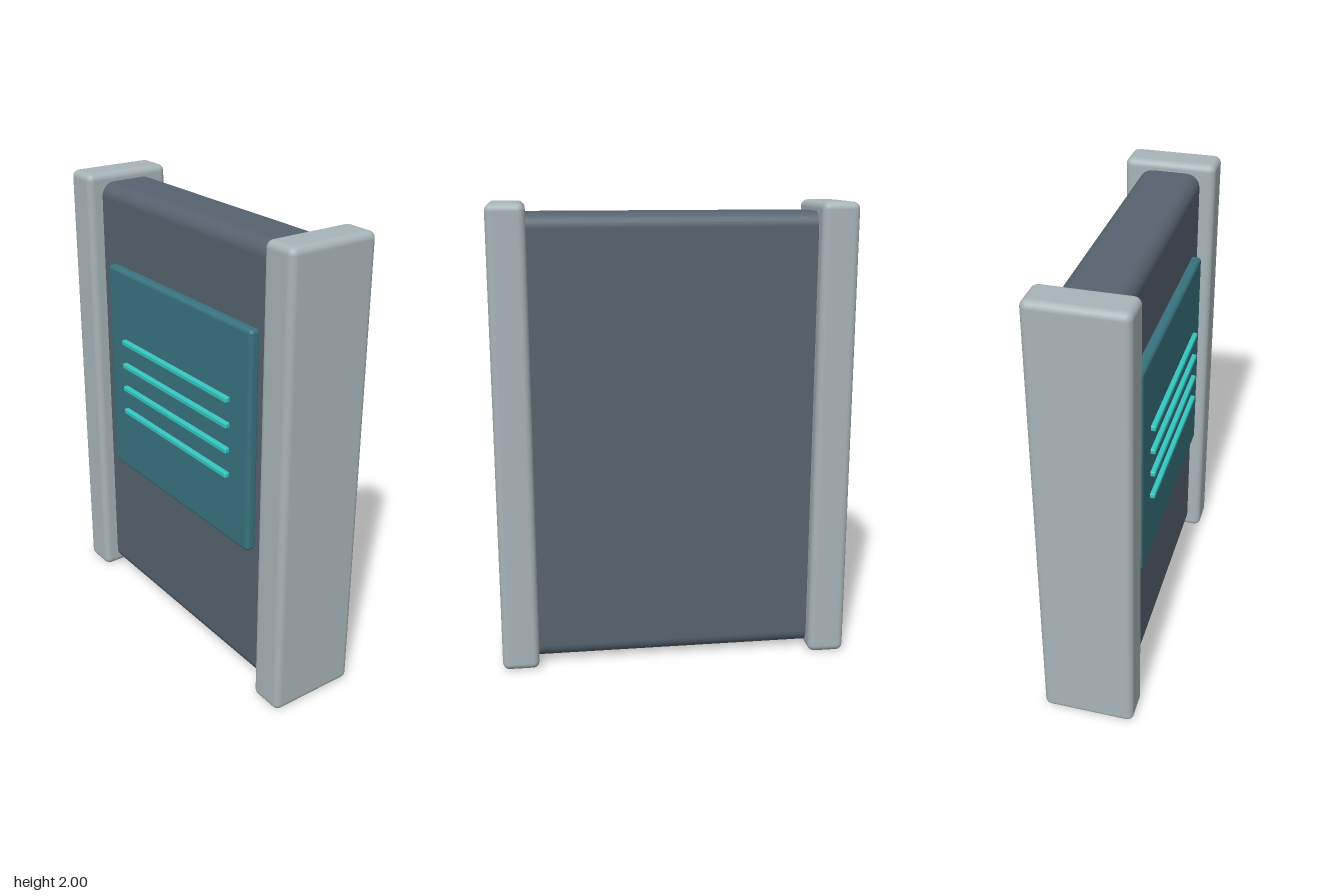
import * as THREE from 'three';
import { RoundedBoxGeometry } from 'three/addons/geometries/RoundedBoxGeometry.js';

const material = (name, color) => {
  const m = new THREE.MeshStandardMaterial({ color });
  m.name = name;
  return m;
};

export function createModel() {
  const group = new THREE.Group();
  group.name = 'displayPanel';
  const paleGrey = material('paleGrey', 0xa8b4b8);
  const slate = material('slate', 0x56636e);
  const teal = material('teal', 0x38737f);
  const turquoise = material('turquoise', 0x36c6c0);

  const addBox = (name, mat, size, radius, position) => {
    const mesh = new THREE.Mesh(new RoundedBoxGeometry(...size, 4, radius), mat);
    mesh.name = name;
    mesh.position.set(...position);
    group.add(mesh);
  };

  // Side posts
  for (const side of [-1, 1]) {
    addBox(side > 0 ? 'leftPost' : 'rightPost', paleGrey, [0.16, 2, 0.4], 0.03, [side * 0.685, 1, 0]);
  }

  // Main slab, its ends tucked into the posts
  addBox('slab', slate, [1.37, 1.94, 0.27], 0.06, [0, 0.99, 0]);

  // Raised screen on the front
  addBox('screen', teal, [1.03, 0.97, 0.05], 0.018, [0, 1.137, 0.15]);

  // Glowing bars on the screen
  for (let i = 0; i < 4; i++) {
    addBox('bar' + (i + 1), turquoise, [0.775, 0.024, 0.025], 0.006, [0, 0.96 + i * 0.112, 0.183]);
  }
  return group;
}
